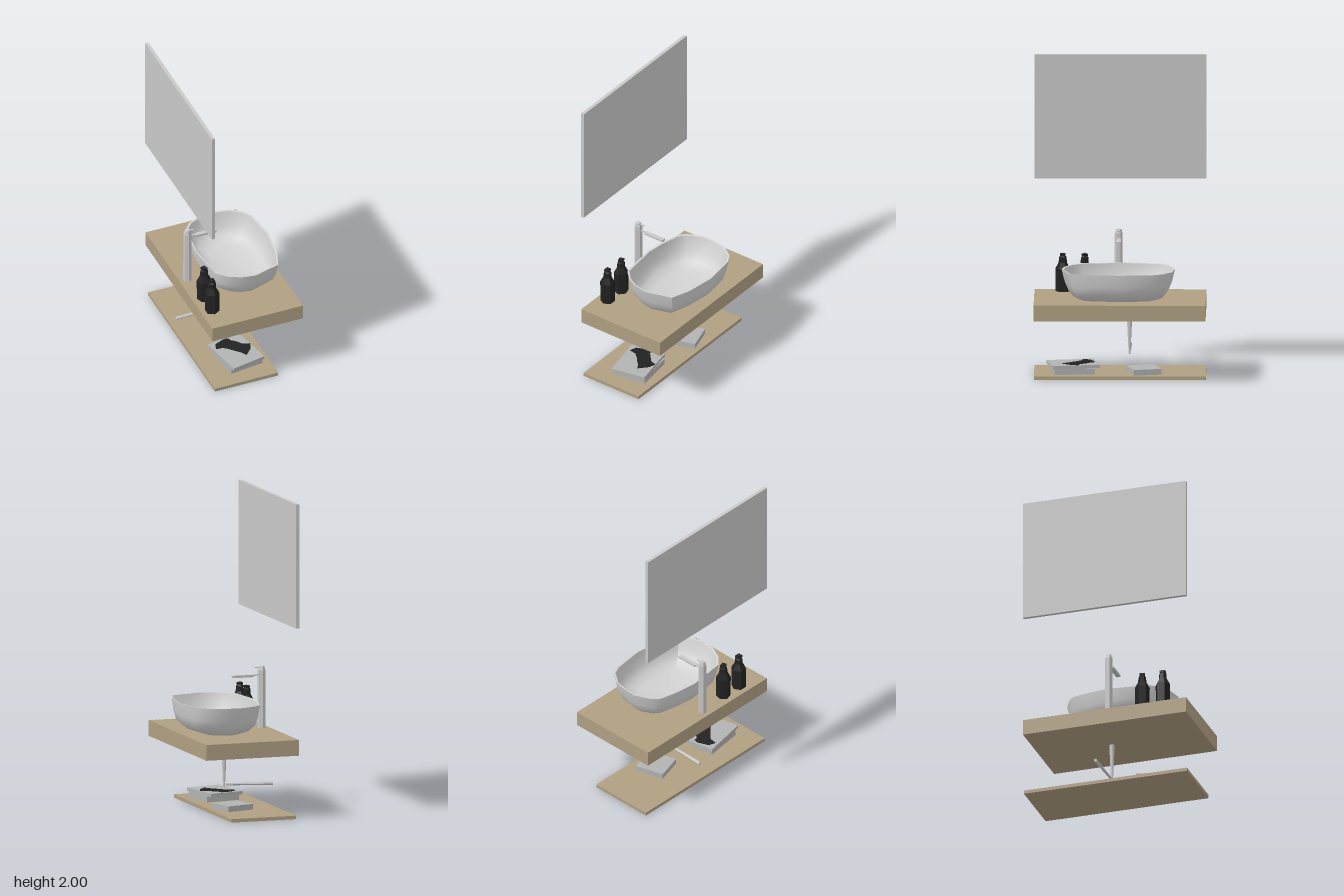
import * as THREE from 'three';
import { toCreasedNormals } from 'three/addons/utils/BufferGeometryUtils.js';

const mat = (name, color) => new THREE.MeshStandardMaterial({ name, color });

// flat-faced copy of a geometry
function flat(geo) {
  const g = geo.index ? geo.toNonIndexed() : geo;
  g.computeVertexNormals();
  return g;
}

export function createModel() {
  const model = new THREE.Group();
  model.name = 'washstand';
  const wood = mat('wood', 0xb0a082);
  const grey = mat('light grey', 0xc9c9c9);
  const ceramic = mat('ceramic', 0xd2d2d2);
  const paper = mat('book grey', 0xb2b3b3);
  const black = mat('black', 0x222222);

  function add(name, geo, material, x = 0, y = 0, z = 0, turn = 0) {
    const m = new THREE.Mesh(geo, material);
    m.name = name;
    m.position.set(x, y, z);
    m.rotation.y = turn;
    model.add(m);
    return m;
  }
  const box = (name, material, w, h, d, x, y, z, turn) =>
    add(name, new THREE.BoxGeometry(w, h, d), material, x, y, z, turn);

  // large slabs
  box('mirror', grey, 0.022, 0.79, 1.08, -0.3, 1.605, 0);
  box('counter', wood, 0.617, 0.1, 1.08, 0, 0.452, 0);
  box('lowerShelf', wood, 0.43, 0.022, 1.08, -0.075, 0.011, 0);

  // basin: one irregular outline scaled through outer wall, rim and bowl
  const outline = [
    [-0.01, -0.347], [0.06, -0.347], [0.165, -0.33], [0.25, -0.27], [0.28, -0.21], [0.305, 0],
    [0.28, 0.19], [0.235, 0.318], [0.06, 0.367], [-0.03, 0.35], [-0.105, 0.312], [-0.165, 0.25],
    [-0.195, 0], [-0.18, -0.13], [-0.15, -0.257], [-0.11, -0.3],
  ];
  const rings = [ // x scale, z scale, height
    [0, 0, 0.504], [0.5, 0.68, 0.504], [0.72, 0.8, 0.522], [0.9, 0.88, 0.56], [0.96, 0.94, 0.61], [1, 1, 0.692],
    [0.95, 0.965, 0.69], [0.89, 0.89, 0.6], [0.75, 0.78, 0.545], [0.5, 0.55, 0.524], [0, 0, 0.52],
  ];
  const n = outline.length, cx = 0.055, cz = 0.01;
  const pos = [], idx = [];
  rings.forEach(([sx, sz, y], r) => {
    outline.forEach(([x, z], i) => {
      pos.push(cx + (x - cx) * sx, y, cz + (z - cz) * sz);
      if (r === rings.length - 1) return;
      const a = r * n + i, b = r * n + (i + 1) % n;
      if (r > 0) idx.push(a, a + n, b);
      if (r < rings.length - 2) idx.push(b, a + n, b + n);
      if (r === 0) idx.push(a, a + n, b + n);
    });
  });
  // the first ring is a single point, so its fan already covers the base
  const bowl = new THREE.BufferGeometry();
  bowl.setAttribute('position', new THREE.Float32BufferAttribute(pos, 3));
  const solid = idx.filter((_, k) => k >= n * 6 || Math.floor(k / 3) % 2 === 0);
  bowl.setIndex(solid);
  add('basin', toCreasedNormals(bowl, 0.75), ceramic);

  // tap
  add('tapBody', flat(new THREE.CylinderGeometry(0.025, 0.026, 0.365, 6)), grey, -0.256, 0.685, 0.011);
  add('tapCap', flat(new THREE.CylinderGeometry(0.017, 0.025, 0.027, 6)), grey, -0.256, 0.881, 0.011);
  box('tapSpoutNeck', grey, 0.05, 0.009, 0.01, -0.218, 0.84, 0.009);
  box('tapSpout', grey, 0.14, 0.015, 0.026, -0.13, 0.836, 0.009);
  box('tapLever', grey, 0.035, 0.006, 0.008, -0.228, 0.886, 0.011);

  // soap bottles
  const profile = [[0, 0.502], [0.046, 0.502], [0.047, 0.645], [0.026, 0.685], [0.024, 0.718], [0.014, 0.73], [0, 0.748]]
    .map(([r, y]) => new THREE.Vector2(r, y));
  [[-0.232, 0.225, 0.3], [-0.235, 0.362, 0]].forEach(([x, z, turn]) => {
    add('soapBottle', flat(new THREE.LatheGeometry(profile, 6)), black, x, 0, z, turn);
    box('bottleSpout', black, 0.03, 0.012, 0.034, x, 0.735, z, turn);
  });

  // tapering waste pipes under the counter
  add('drainPipe', flat(new THREE.CylinderGeometry(0.018, 0.006, 0.255, 6)), grey, 0.02, 0.274, -0.06);
  const wall = add('wallPipe', flat(new THREE.CylinderGeometry(0.008, 0.011, 0.312, 6)), grey, -0.147, 0.162, -0.062);
  wall.rotation.z = -Math.PI / 2 + 0.035;

  // books on the shelf
  box('lowerBook', paper, 0.225, 0.038, 0.255, -0.04, 0.041, 0.297, 0.13);
  box('upperBook', paper, 0.23, 0.02, 0.3, -0.045, 0.07, 0.295, 0.19);
  box('singleBook', paper, 0.19, 0.036, 0.18, -0.005, 0.04, -0.15, 0.28);

  // dark patch printed on the top cover
  const patch = new THREE.Shape([
    [-0.155, 0.235], [-0.14, 0.19], [-0.07, 0.16], [-0.04, 0.165], [-0.035, 0.19], [-0.015, 0.205], [0.02, 0.25],
    [0.065, 0.265], [0.05, 0.31], [0, 0.365], [-0.02, 0.33], [-0.05, 0.3], [-0.08, 0.265], [-0.11, 0.24],
  ].map(([x, z]) => new THREE.Vector2(x, -z)));
  const print = new THREE.ExtrudeGeometry(patch, { depth: 0.003, bevelEnabled: false });
  print.rotateX(-Math.PI / 2);
  add('coverPatch', print, black, 0, 0.08, 0);

  return model;
}
